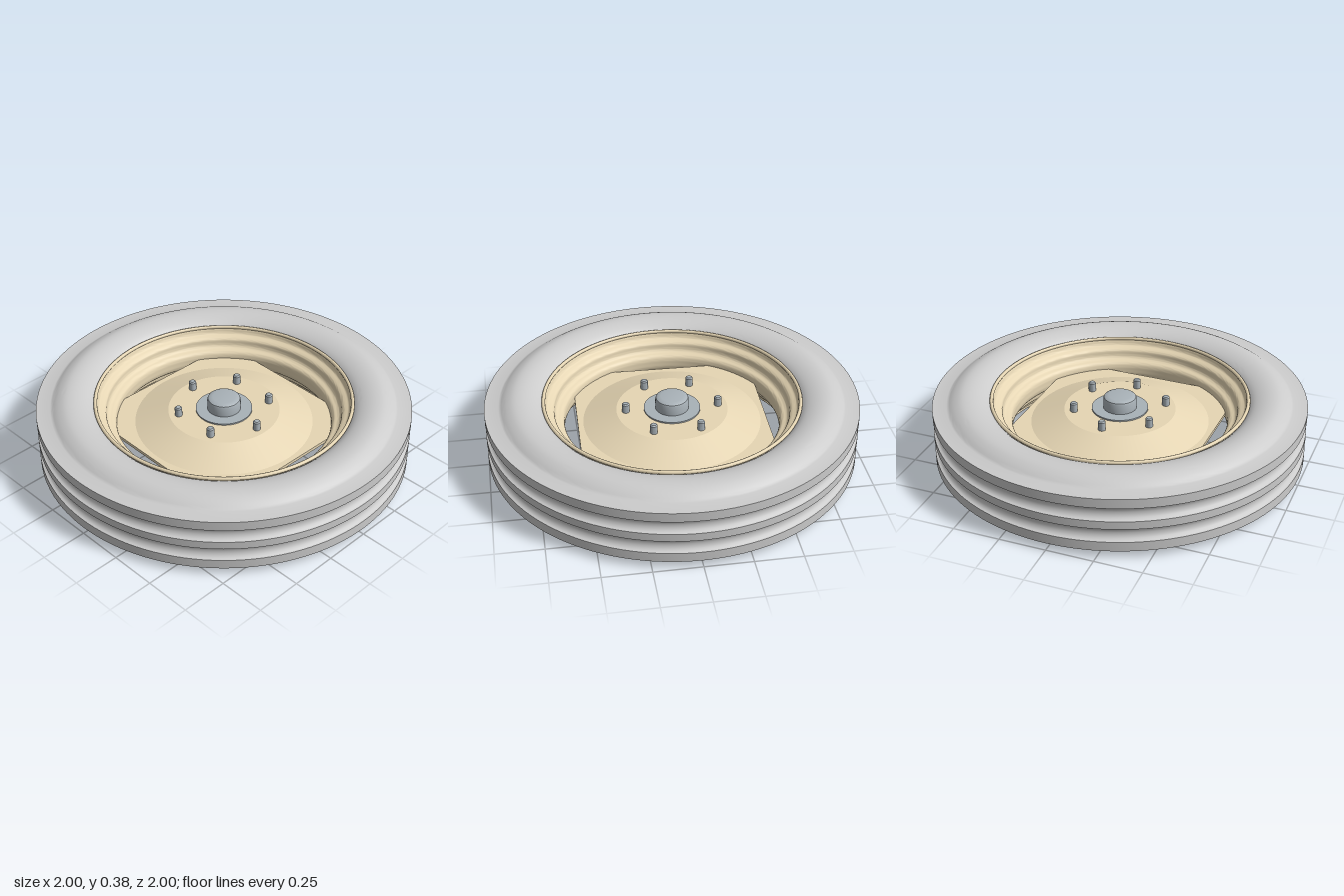
import * as THREE from 'three';
import { toCreasedNormals } from 'three/addons/utils/BufferGeometryUtils.js';

const MID = 0.19; // height of the wheel's middle plane
const rubber = new THREE.MeshStandardMaterial({ color: 0xcccccc, side: THREE.DoubleSide });
const paint = new THREE.MeshStandardMaterial({ color: 0xe6d6b4, side: THREE.DoubleSide });
const steel = new THREE.MeshStandardMaterial({ color: 0xa9b2b8, side: THREE.DoubleSide });

const vec = ([x, y]) => new THREE.Vector2(x, y);
const smooth = (pts, n) => new THREE.SplineCurve(pts.map(vec)).getPoints(n).map(p => [p.x, p.y]);
// Mirror a profile in the middle plane, keeping the walking direction continuous
const mirror = pts => pts.map(([r, y]) => [r, 2 * MID - y]).reverse();

function part(name, geometry, material) {
  const mesh = new THREE.Mesh(geometry, material);
  mesh.name = name;
  return mesh;
}

function turned(name, profile, material, segments = 96, crease = 0.55) {
  const lathe = new THREE.LatheGeometry(profile.map(vec), segments);
  return part(name, toCreasedNormals(lathe, crease), material);
}

// Rounded groove between two ribs
function groove(y0, y1, depth = 0.028, steps = 8) {
  const pts = [];
  for (let i = 0; i <= steps; i++) {
    const a = Math.PI * i / steps;
    pts.push([1 - depth * Math.sin(a), (y0 + y1) / 2 - (y1 - y0) / 2 * Math.cos(a)]);
  }
  return pts;
}

function createTyre() {
  const upperWall = [
    [1, 0.338], [0.925, 0.34],
    ...smooth([[0.915, 0.343], [0.885, 0.362], [0.845, 0.377], [0.8, 0.379],
      [0.755, 0.37], [0.715, 0.352], [0.685, 0.325]], 22),
  ];
  return turned('tyre', [
    ...mirror(upperWall),
    ...groove(0.094, 0.168),
    ...groove(0.212, 0.286),
    ...upperWall,
  ], rubber, 128);
}

function createRim() {
  const rim = new THREE.Group();
  rim.name = 'rim';
  // Stepped well, from the middle up to the lip
  const upper = smooth([[0.58, MID], [0.581, 0.215], [0.592, 0.236], [0.618, 0.246],
    [0.63, 0.262], [0.634, 0.29], [0.65, 0.302], [0.67, 0.312], [0.678, 0.335], [0.686, 0.347]], 32);
  rim.add(turned('rimWell', [...mirror(upper).slice(0, -1), ...upper].reverse(), paint, 128, 0.8));
  // Rolled lips
  for (const side of [-1, 1]) {
    const lip = part('rimLip', new THREE.TorusGeometry(0.687, 0.01, 8, 128), paint);
    lip.rotation.x = Math.PI / 2;
    lip.position.y = MID + side * 0.154;
    rim.add(lip);
  }
  return rim;
}

// Dished plate, trimmed to a square whose corners meet the rim
function createPlate() {
  const profile = [[0, 0.245], [0.29, 0.245], [0.48, 0.18], [0.582, 0.18],
    [0.582, 0.198], [0.48, 0.198], [0.3, 0.265], [0, 0.265]];
  const geometry = new THREE.LatheGeometry(profile.map(vec), 160);
  const p = geometry.attributes.position;
  const half = 0.51;
  for (let i = 0; i < p.count; i++) {
    const reach = Math.max(Math.abs(p.getX(i)), Math.abs(p.getZ(i)));
    const k = reach > half ? half / reach : 1;
    p.setX(i, p.getX(i) * k);
    p.setZ(i, p.getZ(i) * k);
  }
  return part('dishedPlate', toCreasedNormals(geometry, 0.25), paint);
}

function createHub() {
  const hub = new THREE.Group();
  hub.name = 'hub';
  // Mounting flange, flared neck and open tube below the plate
  hub.add(turned('hubBody', [
    [0, 0.1], [0.088, 0.1], [0.088, 0.04], [0.096, 0.032], [0.116, 0.032], [0.124, 0.04],
    ...smooth([[0.124, 0.085], [0.13, 0.13], [0.148, 0.172], [0.19, 0.205]], 12),
    [0.27, 0.205], [0.27, 0.247], [0, 0.247],
  ], steel, 64));
  // Washer and rounded cap above the plate
  hub.add(turned('hubWasher', [[0, 0.255], [0.152, 0.255], [0.152, 0.273], [0, 0.273]], steel, 64));
  hub.add(turned('hubCap', [
    [0.09, 0.27], [0.09, 0.325], [0.086, 0.335], [0.077, 0.341], [0.06, 0.344], [0, 0.345],
  ], steel, 48));
  return hub;
}

function createBolts() {
  const bolts = new THREE.Group();
  bolts.name = 'bolts';
  for (let i = 0; i < 6; i++) {
    const a = i * Math.PI / 3;
    const bolt = turned('bolt', [[0.02, 0.25], [0.02, 0.311], [0.014, 0.317], [0, 0.317]], steel, 16);
    bolt.position.set(0.25 * Math.cos(a), 0, 0.25 * Math.sin(a));
    bolts.add(bolt);
  }
  return bolts;
}

export function createModel() {
  const wheel = new THREE.Group();
  wheel.name = 'wheel';
  const centre = new THREE.Group();
  centre.name = 'wheelCentre';
  centre.add(createPlate(), createHub(), createBolts());
  centre.rotation.y = -0.02;
  wheel.add(createTyre(), createRim(), centre);
  return wheel;
}
